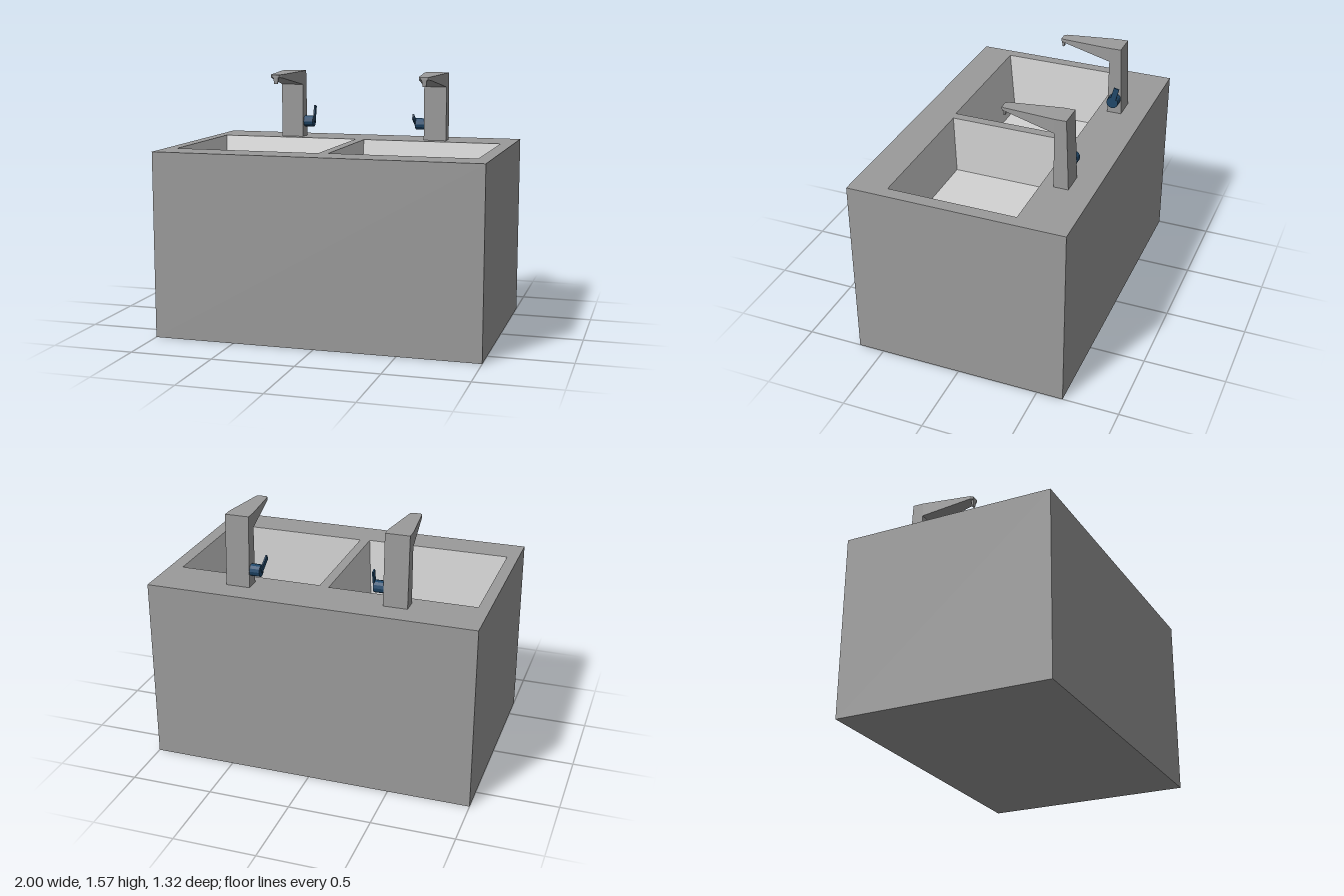
import * as THREE from 'three';
import { ConvexGeometry } from 'three/addons/geometries/ConvexGeometry.js';

const H = 1.135, W = 2, D = 1.32;

const mat = (name, color) => {
  const m = new THREE.MeshStandardMaterial({ color });
  m.name = name;
  return m;
};

const add = (parent, name, geometry, material) => {
  const mesh = new THREE.Mesh(geometry, material);
  mesh.name = name;
  parent.add(mesh);
  return mesh;
};

// Rectangle corners [x, z]: back left, back right, front right, front left
const corners = ([x0, x1, z0, z1]) => [[x0, z0], [x1, z0], [x1, z1], [x0, z1]];

// Open basin: four sloping walls facing inwards and a floor
function basinGeometry(rim, floor, depth) {
  const t = corners(rim).map(([x, z]) => [x, H, z]);
  const b = corners(floor).map(([x, z]) => [x, H - depth, z]);
  const pos = [];
  const quad = (p, q, r, s) => pos.push(...p, ...q, ...r, ...p, ...r, ...s);
  for (let i = 0; i < 4; i++) {
    const j = (i + 1) % 4;
    quad(b[i], b[j], t[j], t[i]);
  }
  quad(b[3], b[2], b[1], b[0]);
  const g = new THREE.BufferGeometry();
  g.setAttribute('position', new THREE.Float32BufferAttribute(pos, 3));
  g.computeVertexNormals();
  return g;
}

// Convex solid, symmetric in x, from [halfWidth, y, z] points
const symmetricSolid = (points) => new ConvexGeometry(points.flatMap(([w, y, z]) =>
  [new THREE.Vector3(-w, y, z), new THREE.Vector3(w, y, z)]));

export function createModel() {
  const model = new THREE.Group();
  model.name = 'doubleSink';
  const stone = mat('stone grey', 0x9b9b9b);
  const enamel = mat('light basin grey', 0xd3d3d3);
  const blue = mat('handle blue', 0x20486a);

  // Block with its top face left out
  const block = new THREE.BoxGeometry(W, H, D).translate(0, H / 2, 0);
  block.setIndex([...block.index.array].filter((_, i) => i < 12 || i > 17));
  block.clearGroups();
  add(model, 'block', block, stone);

  // Basins: rim and floor as [x0, x1, z0, z1]
  const basins = [
    { name: 'rightBasin', rim: [-0.93, -0.03, -0.355, 0.45], floor: [-0.88, -0.06, -0.245, 0.395], depth: 0.38 },
    { name: 'leftBasin', rim: [0.03, 0.92, -0.345, 0.44], floor: [0.032, 0.905, -0.27, 0.425], depth: 0.37 },
  ];

  // Worktop with two openings
  const outline = (rect) => corners(rect).map(([x, z]) => new THREE.Vector2(x, -z));
  const top = new THREE.Shape(outline([-W / 2, W / 2, -D / 2, D / 2]));
  for (const { name, rim, floor, depth } of basins) {
    top.holes.push(new THREE.Path(outline(rim)));
    add(model, name, basinGeometry(rim, floor, depth), enamel);
  }
  add(model, 'worktop', new THREE.ShapeGeometry(top).rotateX(-Math.PI / 2).translate(0, H, 0), stone);

  // Taps, each with a handle on the side facing the middle
  const w = 0.073;
  for (const side of [-1, 1]) {
    const tap = new THREE.Group();
    tap.name = side < 0 ? 'rightTap' : 'leftTap';
    tap.position.x = side * 0.483;
    model.add(tap);

    add(tap, 'column', symmetricSolid([
      [w, H, -0.51], [w, H, -0.42], [w, 1.57, -0.49], [w, 1.569, -0.42],
    ]), stone);
    add(tap, 'spout', symmetricSolid([
      [w, 1.48, -0.42], [w, 1.569, -0.42], [0.036, 1.54, -0.105],
      [0.036, 1.56, -0.105], [0.024, 1.542, -0.088], [0.024, 1.558, -0.088],
    ]), stone);
    add(tap, 'nozzle', symmetricSolid([
      [0.017, 1.545, -0.088], [0.017, 1.545, -0.108], [0.011, 1.5, -0.093], [0.011, 1.5, -0.102],
    ]), stone);

    const handle = new THREE.Group();
    handle.name = 'handle';
    handle.position.set(-side * w, 1.235, -0.468);
    tap.add(handle);
    const knob = new THREE.CylinderGeometry(0.037, 0.037, 0.062, 12).toNonIndexed();
    knob.computeVertexNormals();
    knob.rotateZ(Math.PI / 2).translate(-side * 0.031, 0, 0);
    add(handle, 'knob', knob, blue);

    // One lever stands up, the other leans forwards
    const lever = add(handle, 'lever',
      new THREE.BoxGeometry(0.009, 0.11, 0.034).translate(-side * 0.0625, 0.05, 0), blue);
    lever.rotation.x = side < 0 ? -0.25 : 1.02;
  }
  return model;
}
